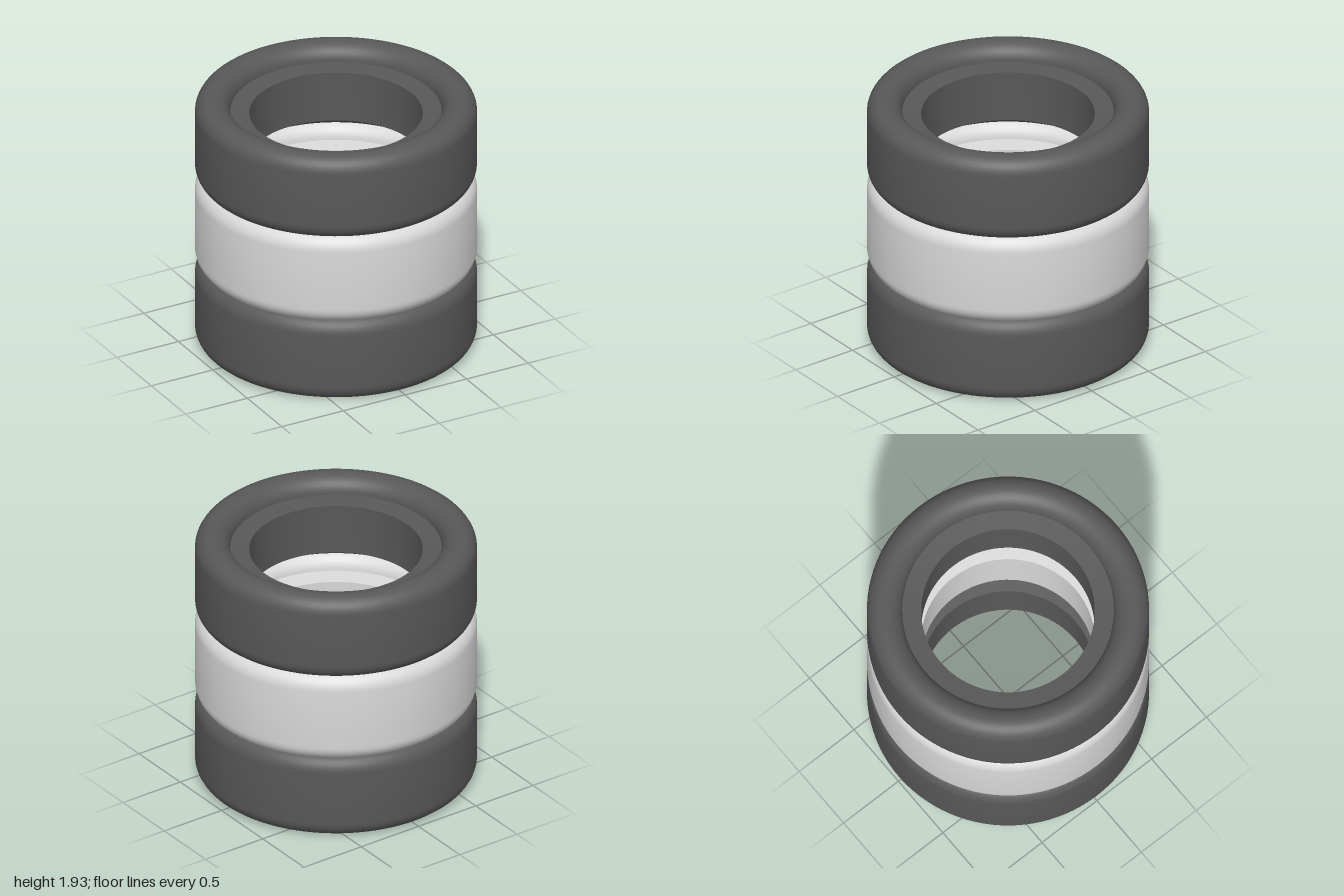
import * as THREE from 'three';
import { toCreasedNormals } from 'three/addons/utils/BufferGeometryUtils.js';

const rubber = new THREE.MeshStandardMaterial({ color: 0x585858 });
rubber.name = 'darkRubber';
const white = new THREE.MeshStandardMaterial({ color: 0xd8d8d8 });
white.name = 'whitePaint';

// Half of the tyre section above its middle: tread, shoulder, side wall, bead ledge, bore
function upperHalf(half) {
  const pts = [];
  for (let i = 0; i <= 16; i++) {
    const a = (i / 16) * Math.PI;
    pts.push(new THREE.Vector2(0.88 + (a < Math.PI / 2 ? 0.12 : 0.13) * Math.cos(a), half - 0.12 + 0.12 * Math.sin(a)));
  }
  pts.push(new THREE.Vector2(0.615, half - 0.135));
  return pts;
}

function tyre(name, y0, y1, material) {
  const upper = upperHalf((y1 - y0) / 2);
  const lower = upper.map(p => new THREE.Vector2(p.x, -p.y)).reverse();
  const section = [...lower, ...upper, lower[0].clone()];
  const geometry = toCreasedNormals(new THREE.LatheGeometry(section, 96), 0.6);
  const mesh = new THREE.Mesh(geometry, material);
  mesh.name = name;
  mesh.position.y = (y0 + y1) / 2;
  return mesh;
}

export function createModel() {
  const group = new THREE.Group();
  group.name = 'tyreStack';
  // The painted middle tyre is pressed slightly into its neighbours
  group.add(
    tyre('bottomTyre', 0, 0.65, rubber),
    tyre('middleTyre', 0.62, 1.315, white),
    tyre('topTyre', 1.285, 1.935, rubber),
  );
  return group;
}
